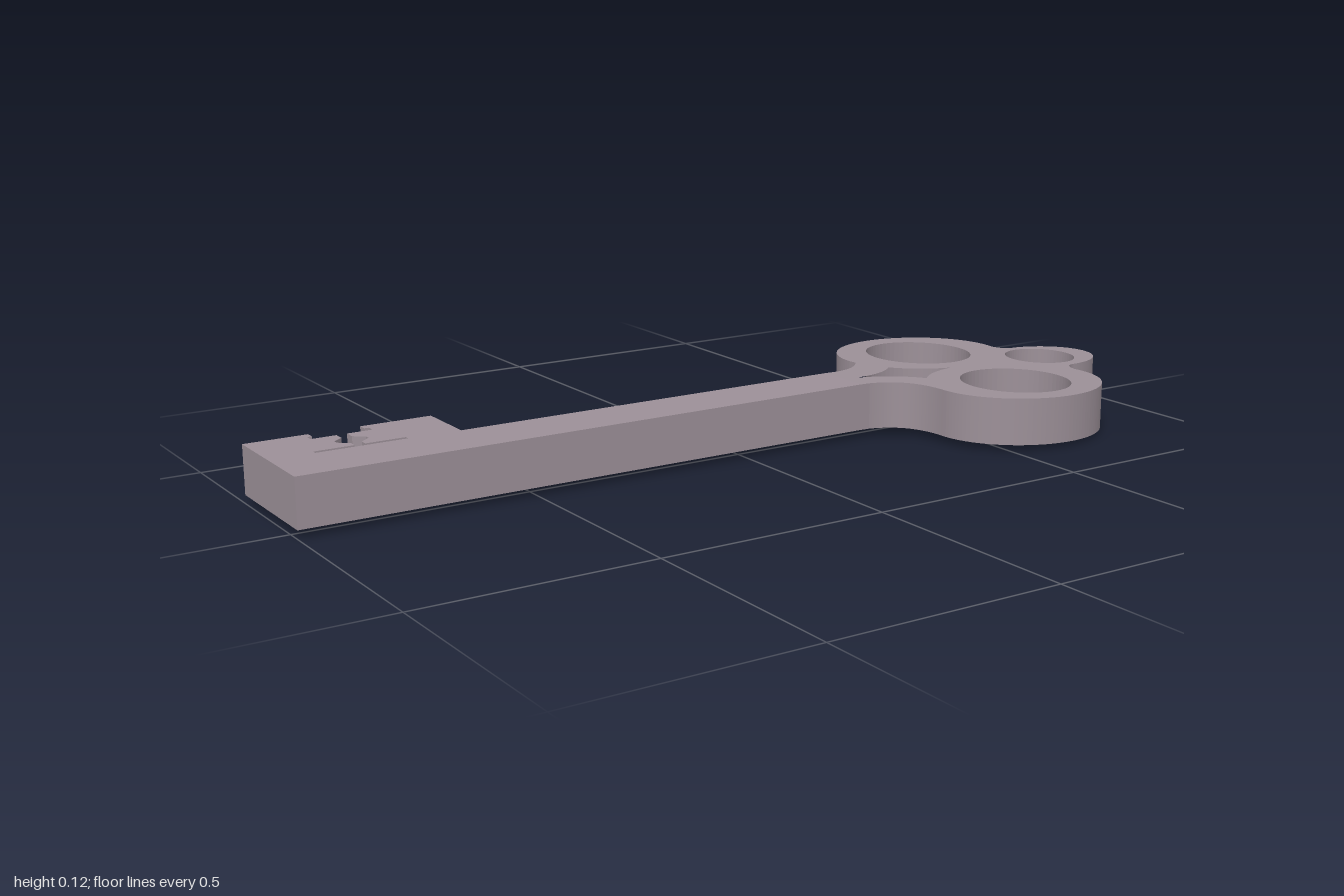
import * as THREE from 'three';

const THICKNESS = 0.103;
const DROP = 0.018; // how far the bow sinks towards its tip
const BOW_START = 0.3;

// Plan outlines are drawn as (x, -z) and raised along y.
function plate(name, shape, material) {
  const geometry = new THREE.ExtrudeGeometry(shape, {
    depth: THICKNESS, bevelEnabled: false, curveSegments: 32,
  });
  geometry.rotateX(-Math.PI / 2);
  geometry.translate(0, DROP, 0);
  const mesh = new THREE.Mesh(geometry, material);
  mesh.name = name;
  return mesh;
}

function polygon(points) {
  return new THREE.Shape(points.map(([x, y]) => new THREE.Vector2(x, y)));
}

function ellipseHole(x, y, r) {
  return new THREE.Path().absellipse(x, y, r, r, 0, Math.PI * 2, false);
}

// Bit with a stepped notch, a diamond-shaped ward and a cross slot
function bitShape() {
  const mid = -0.81;
  const ward = [ // half width, height: from the outer edge down to the slot
    [0.055, 0.235], [0.055, 0.215], [0.065, 0.215], [0.065, 0.197],
    [0.011, 0.197], [0.011, 0.172], [0.033, 0.155], [0.033, 0.143],
    [0.011, 0.124], [0.011, 0.107], [0.096, 0.107], [0.096, 0.096],
  ];
  return polygon([
    [-1, -0.037], [-0.6, -0.037], [-0.6, 0.235],
    ...ward.map(([w, y]) => [mid + w, y]),
    ...ward.slice().reverse().map(([w, y]) => [mid - w, y]),
    [-1, 0.235],
  ]);
}

// Trefoil bow: two large rings, a small end ring and a flared neck
function bowShape() {
  const s = new THREE.Shape();
  s.moveTo(BOW_START, -0.037);
  s.lineTo(BOW_START, 0.094);
  s.lineTo(0.323, 0.094);
  s.quadraticCurveTo(0.39, 0.1, 0.427, 0.153);
  s.absellipse(0.63, 0.173, 0.205, 0.172, Math.PI, -0.15, true);
  s.quadraticCurveTo(0.838, 0.11, 0.874, 0.11);
  s.absellipse(0.862, 0.006, 0.138, 0.105, 1.48, -1.48, true);
  s.quadraticCurveTo(0.838, -0.1, 0.833, -0.142);
  s.absellipse(0.63, -0.168, 0.205, 0.172, 0.15, -Math.PI, true);
  s.quadraticCurveTo(0.425, -0.05, 0.323, -0.037);

  // Four-pointed opening between the neck and the rings
  const star = new THREE.Path();
  star.moveTo(0.33, 0.022);
  star.quadraticCurveTo(0.42, 0.03, 0.462, 0.075);
  star.quadraticCurveTo(0.51, 0.018, 0.59, 0.006);
  star.quadraticCurveTo(0.51, -0.01, 0.468, -0.056);
  star.quadraticCurveTo(0.42, 0.01, 0.33, 0.022);

  s.holes.push(
    ellipseHole(0.628, 0.173, 0.123),
    ellipseHole(0.63, -0.168, 0.123),
    ellipseHole(0.862, 0.008, 0.081),
    star,
  );
  return s;
}

export function createModel() {
  const metal = new THREE.MeshStandardMaterial({ color: 0x9c9098 });
  metal.name = 'greyMetal';

  const group = new THREE.Group();
  group.name = 'key';

  const shaft = polygon([
    [-0.6, -0.037], [BOW_START, -0.037], [BOW_START, 0.094], [-0.6, 0.094],
  ]);
  group.add(plate('bit', bitShape(), metal));
  group.add(plate('shaft', shaft, metal));

  // The bow tilts gently downwards away from the shaft
  const bow = plate('bow', bowShape(), metal);
  const p = bow.geometry.attributes.position;
  for (let i = 0; i < p.count; i++) {
    const t = (p.getX(i) - BOW_START) / (1 - BOW_START);
    p.setY(i, p.getY(i) - DROP * t);
  }
  bow.geometry.computeVertexNormals();
  group.add(bow);

  return group;
}
